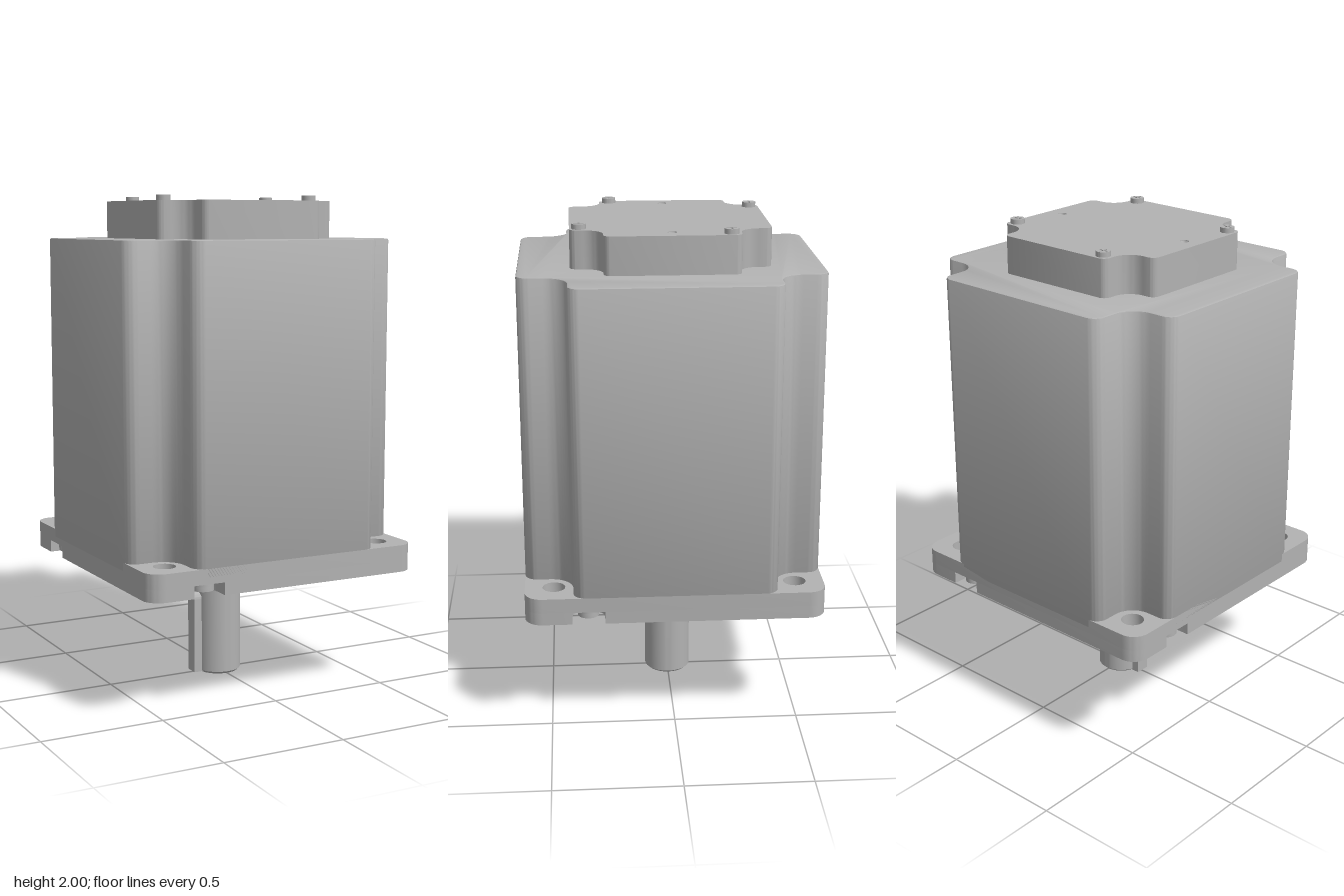
import * as THREE from 'three';
import { toCreasedNormals } from 'three/addons/utils/BufferGeometryUtils.js';

const steel = new THREE.MeshStandardMaterial({ color: 0xb2b2b2 });
steel.name = 'steel grey';

// Repeat one quarter [x, y, radius] list around the centre
function fourFold(quarter) {
  const out = [];
  let pts = quarter;
  for (let i = 0; i < 4; i++) {
    out.push(...pts);
    pts = pts.map(([x, y, r]) => [-y, x, r]);
  }
  return out;
}

// Closed outline with each right-angled corner rounded by its own radius
function roundedShape(pts) {
  const shape = new THREE.Shape();
  const k = 0.5523;
  pts.forEach(([x, y, r], i) => {
    const p = new THREE.Vector2(x, y);
    const a = new THREE.Vector2(...pts.at(i - 1)).sub(p).normalize();
    const b = new THREE.Vector2(...pts[(i + 1) % pts.length]).sub(p).normalize();
    const at = (d, s) => p.clone().addScaledVector(d, s);
    const start = at(a, r), end = at(b, r);
    if (i === 0) shape.moveTo(start.x, start.y);
    else shape.lineTo(start.x, start.y);
    if (r > 0) {
      const c1 = at(a, r * (1 - k)), c2 = at(b, r * (1 - k));
      shape.bezierCurveTo(c1.x, c1.y, c2.x, c2.y, end.x, end.y);
    }
  });
  shape.closePath();
  return shape;
}

function circleHole(shape, x, y, r) {
  const hole = new THREE.Path();
  hole.absarc(x, y, r, 0, Math.PI * 2, true);
  shape.holes.push(hole);
}

// Upright extrusion of a plan outline (plan y = -z) between two heights
function plate(shape, y0, y1, bevel = 0) {
  const geo = new THREE.ExtrudeGeometry(shape, {
    depth: y1 - y0 - 2 * bevel, curveSegments: 12, bevelEnabled: bevel > 0,
    bevelSize: bevel, bevelThickness: bevel, bevelOffset: -bevel, bevelSegments: 2,
  });
  geo.rotateX(-Math.PI / 2);
  geo.translate(0, y0 + bevel, 0);
  return toCreasedNormals(geo, 0.5);
}

function lathe(points, segments = 64) {
  const geo = new THREE.LatheGeometry(points.map((p) => new THREE.Vector2(...p)), segments);
  return toCreasedNormals(geo, 0.5);
}

function add(parent, name, geo) {
  const mesh = new THREE.Mesh(geo, steel);
  mesh.name = name;
  parent.add(mesh);
  return mesh;
}

// Cross-recess screw standing on y = 0
function makeScrew(name, r, h) {
  const screw = new THREE.Group();
  screw.name = name;
  const mid = h * 0.45;
  add(screw, 'screwBase', lathe([[0, 0], [r, 0], [r, mid], [0, mid]], 24));
  const head = new THREE.Shape();
  head.absarc(0, 0, r, 0, Math.PI * 2, false);
  const w = r * 0.13, l = r * 0.7;
  const cross = fourFold([[-w, -l], [w, -l], [w, -w]]).map((p) => new THREE.Vector2(p[0], p[1]));
  head.holes.push(new THREE.Path(cross.reverse()));
  add(screw, 'screwHead', plate(head, mid, h));
  return screw;
}

export function createModel() {
  const motor = new THREE.Group();
  motor.name = 'motor';
  const W = 0.595;

  // Mounting flange: solid upper layer, lower layer with four screw pockets
  const upper = roundedShape(fourFold([[-W, -W, 0.07]]));
  const lower = roundedShape(fourFold([
    [-W, -W, 0.07], [-0.41, -W, 0], [-0.41, -0.48, 0.05], [-0.28, -0.48, 0.05], [-0.28, -W, 0],
  ]));
  for (const s of [upper, lower])
    for (const x of [-0.48, 0.48]) for (const y of [-0.48, 0.48]) circleHole(s, x, y, 0.045);
  add(motor, 'flangeUpper', plate(upper, 0.54, 0.6));
  add(motor, 'flangeLower', plate(lower, 0.49, 0.54));

  // Housing with scooped corners
  const body = roundedShape(fourFold([[-W, -0.403, 0.05], [-0.403, -0.403, 0.09], [-0.403, -W, 0.05]]));
  add(motor, 'housing', plate(body, 0.56, 1.83, 0.007));

  // Rear cover with two dimples
  const C = 0.39, N = 0.262;
  const cover = roundedShape(fourFold([[-C, -N, 0.03], [-N, -N, 0.075], [-N, -C, 0.03]]));
  for (const x of [-0.32, 0.32]) {
    circleHole(cover, x, 0, 0.018);
    const dimple = add(motor, 'dimple', lathe([[0.019, 1.98], [0.014, 1.968], [0, 1.962]], 24));
    dimple.position.x = x;
  }
  add(motor, 'rearCover', plate(cover, 1.825, 1.98));

  // Screws on the cover and in the flange pockets, repeated every quarter turn
  for (let i = 0; i < 4; i++) {
    const turn = new THREE.Group();
    turn.name = 'screwPair';
    turn.rotation.y = (i * Math.PI) / 2;
    const top = makeScrew('coverScrew', 0.028, 0.022);
    top.position.set(-0.353, 1.978, 0.222);
    const under = makeScrew('flangeScrew', 0.042, 0.034);
    under.rotation.x = Math.PI;
    under.position.set(-0.345, 0.541, 0.538);
    turn.add(top, under);
    motor.add(turn);
  }

  // Pilot boss and output shaft
  add(motor, 'pilotBoss', lathe([[0, 0.472], [0.505, 0.472], [0.505, 0.495], [0, 0.495]], 96));
  add(motor, 'shaft', lathe([[0, 0], [0.085, 0], [0.096, 0.01], [0.096, 0.48]]));

  // Shaft key with a rounded upper end
  const keyShape = new THREE.Shape();
  keyShape.moveTo(-0.03, 0.005);
  keyShape.lineTo(0.03, 0.005);
  keyShape.lineTo(0.03, 0.32);
  keyShape.absarc(0, 0.32, 0.03, 0, Math.PI, false);
  keyShape.closePath();
  const keyGeo = new THREE.ExtrudeGeometry(keyShape, { depth: 0.075, bevelEnabled: false, curveSegments: 16 });
  keyGeo.rotateY(-Math.PI / 2);
  keyGeo.translate(-0.05, 0, 0);
  add(motor, 'shaftKey', toCreasedNormals(keyGeo, 0.5));

  return motor;
}
